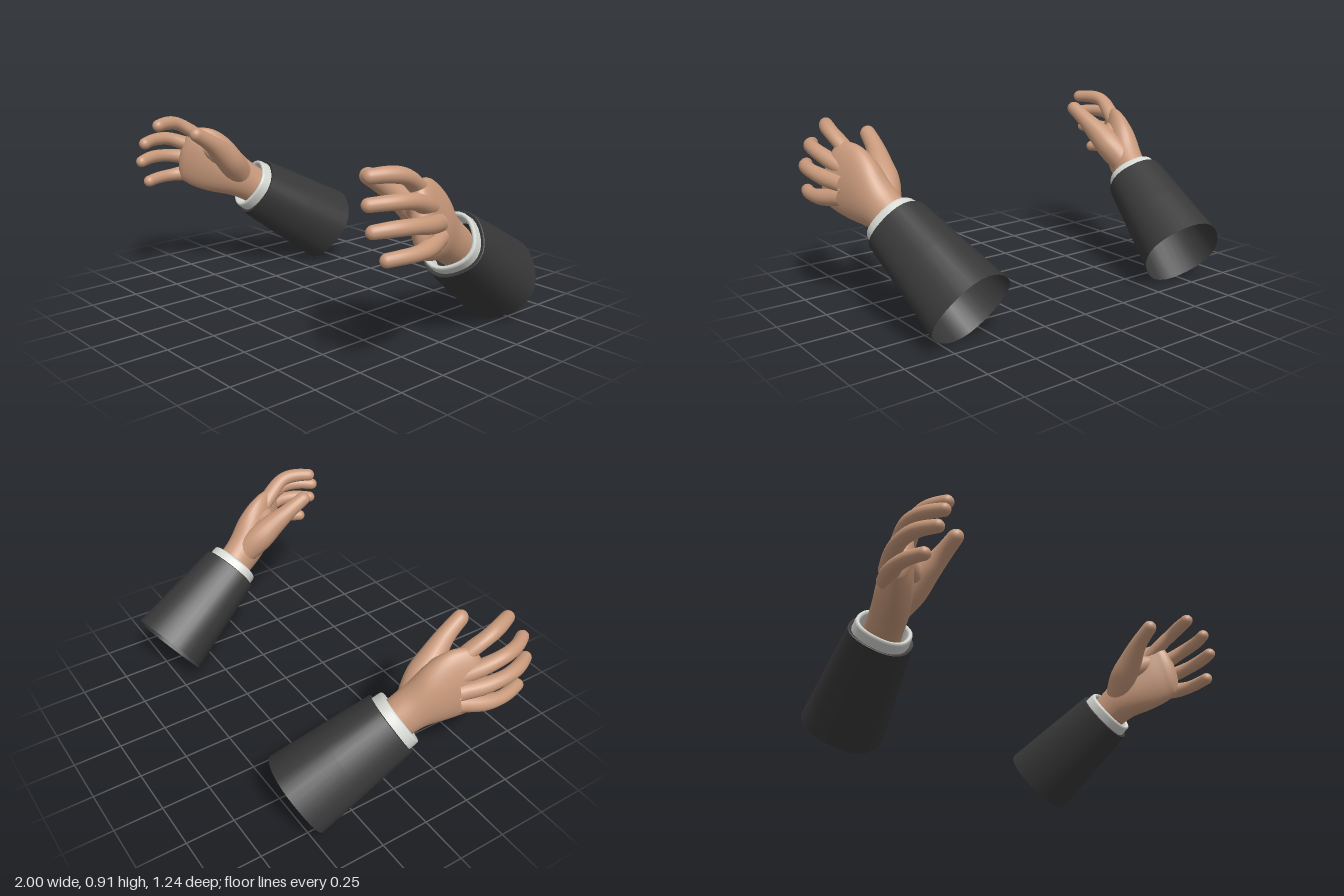
import * as THREE from 'three';

const V = (x, y, z) => new THREE.Vector3(x, y, z);

const sleeveMat = new THREE.MeshStandardMaterial({ name: 'charcoal cloth', color: 0x383838, side: THREE.DoubleSide });
const cuffMat = new THREE.MeshStandardMaterial({ name: 'off-white linen', color: 0xd6d8d2, side: THREE.DoubleSide });
const skinMat = new THREE.MeshStandardMaterial({ name: 'skin', color: 0xc8997b, side: THREE.DoubleSide });

// Smooth skin through closed rings of points; side = -1 mirrors it across x = 0
function loft(name, rings, material, side) {
  const n = rings[0].length;
  const pos = [];
  const index = [];
  for (const ring of rings) for (const p of ring) pos.push(p.x * side, p.y, p.z);
  for (let i = 0; i < rings.length - 1; i++) {
    for (let j = 0; j < n; j++) {
      const k = (j + 1) % n;
      const a = i * n + j, b = i * n + k, c = a + n, d = b + n;
      if (side > 0) index.push(a, b, d, a, d, c);
      else index.push(a, d, b, a, c, d);
    }
  }
  const geo = new THREE.BufferGeometry();
  geo.setAttribute('position', new THREE.Float32BufferAttribute(pos, 3));
  geo.setIndex(index);
  geo.computeVertexNormals();
  const mesh = new THREE.Mesh(geo, material);
  mesh.name = name;
  return mesh;
}

// Fleshy limb with a rounded tip; stations are [x, y, z, half height, half thickness]
function limb(name, stations, hintA, hintB, side, steps = 28, segs = 20) {
  const path = new THREE.CatmullRomCurve3(stations.map(s => V(s[0], s[1], s[2])), false, 'catmullrom');
  const size = new THREE.CatmullRomCurve3(stations.map(s => V(s[3], s[4] ?? s[3], 0)), false, 'catmullrom');
  const end = path.getPoint(1);
  const rings = [];
  for (let i = 0; i <= steps; i++) {
    const t = 1 - (1 - i / steps) ** 2;
    const c = path.getPoint(t);
    const r = size.getPoint(t);
    const u = hintA.clone().lerp(hintB, t).normalize();
    const v = path.getTangent(t).cross(u).normalize();
    const d = Math.min(1, c.distanceTo(end) / r.y);
    const cap = Math.max(0.01, Math.sqrt(1 - (1 - d) ** 2));
    const ring = [];
    for (let j = 0; j < segs; j++) {
      const a = (j / segs) * Math.PI * 2;
      ring.push(c.clone()
        .addScaledVector(u, Math.cos(a) * r.x * cap)
        .addScaledVector(v, Math.sin(a) * r.y * cap));
    }
    rings.push(ring);
  }
  return loft(name, rings, skinMat, side);
}

// Slightly squared tube round the forearm axis; profile is [distance, radius]
const armStart = V(0.66, 0.19, -0.503);
const armEnd = V(0.755, 0.475, -0.055);
const armAxis = armEnd.clone().sub(armStart).normalize();
const armLength = armStart.distanceTo(armEnd);

function armTube(name, profile, material, side, segs = 32) {
  const u = V(-0.985, 0.17, 0).projectOnPlane(armAxis).normalize();
  const v = armAxis.clone().cross(u);
  const rings = profile.map(([d, r]) => {
    const c = armStart.clone().addScaledVector(armAxis, d);
    return Array.from({ length: segs }, (_, j) => {
      const a = (j / segs) * Math.PI * 2;
      const rr = r * (1 + 0.03 * Math.cos(4 * a));
      return c.clone().addScaledVector(u, Math.cos(a) * rr).addScaledVector(v, Math.sin(a) * rr);
    });
  });
  return loft(name, rings, material, side);
}

const fingers = {
  indexFinger: [[0.82, 0.73, 0.18, 0.042], [0.85, 0.81, 0.28, 0.043], [0.868, 0.868, 0.37, 0.038],
    [0.852, 0.884, 0.45, 0.036], [0.808, 0.88, 0.552, 0.031]],
  middleFinger: [[0.86, 0.7, 0.2, 0.044], [0.91, 0.745, 0.3, 0.042], [0.938, 0.783, 0.4, 0.036],
    [0.92, 0.79, 0.5, 0.033], [0.86, 0.782, 0.605, 0.03]],
  ringFinger: [[0.9, 0.65, 0.2, 0.044], [0.945, 0.668, 0.3, 0.04], [0.965, 0.685, 0.4, 0.035],
    [0.95, 0.69, 0.5, 0.034], [0.895, 0.68, 0.612, 0.029]],
  littleFinger: [[0.905, 0.59, 0.2, 0.045], [0.948, 0.575, 0.3, 0.042], [0.966, 0.57, 0.38, 0.034],
    [0.958, 0.568, 0.46, 0.032], [0.925, 0.56, 0.56, 0.03]],
};

function createArm(name, side) {
  const arm = new THREE.Group();
  arm.name = name;
  const L = armLength;

  // Open sleeve with a narrow turned-in hem
  arm.add(armTube('sleeve', [[0, 0.212], [L * 0.5, 0.187], [L, 0.161]], sleeveMat, side));
  arm.add(armTube('sleeveHem', [[L, 0.161], [L + 0.003, 0.155], [L - 0.005, 0.138]], sleeveMat, side));

  // Shirt cuff with a rounded lip
  arm.add(armTube('cuff', [[L - 0.06, 0.146], [L + 0.04, 0.141], [L + 0.05, 0.138], [L + 0.054, 0.131],
    [L + 0.05, 0.122], [L + 0.04, 0.118], [L - 0.06, 0.118]], cuffMat, side));

  // Hand
  const hand = new THREE.Group();
  hand.name = 'hand';
  hand.add(limb('palm', [
    [0.745, 0.46, -0.08, 0.1, 0.093],
    [0.765, 0.507, -0.01, 0.105, 0.09],
    [0.785, 0.555, 0.06, 0.12, 0.09],
    [0.82, 0.615, 0.14, 0.158, 0.085],
    [0.855, 0.66, 0.22, 0.174, 0.07],
    [0.89, 0.685, 0.29, 0.16, 0.054],
    [0.91, 0.69, 0.345, 0.13, 0.042],
  ], V(-0.1, 0.88, -0.45), V(-0.25, 0.95, -0.1), side, 40, 32));

  const up = V(-0.15, 1, 0);
  for (const [finger, stations] of Object.entries(fingers)) hand.add(limb(finger, stations, up, up, side));

  const across = V(1, 0, 0);
  hand.add(limb('thumb', [[0.765, 0.54, 0.03, 0.07], [0.725, 0.635, 0.12, 0.076], [0.702, 0.715, 0.21, 0.063],
    [0.677, 0.785, 0.3, 0.045], [0.664, 0.858, 0.418, 0.036]], across, across, side));
  hand.add(limb('thumbWeb', [[0.69, 0.67, 0.16, 0.058], [0.77, 0.7, 0.19, 0.058], [0.88, 0.75, 0.235, 0.052]],
    up, up, side));
  arm.add(hand);
  return arm;
}

export function createModel() {
  const model = new THREE.Group();
  model.name = 'pair of sleeved hands';
  model.add(createArm('leftArm', 1), createArm('rightArm', -1));
  return model;
}
